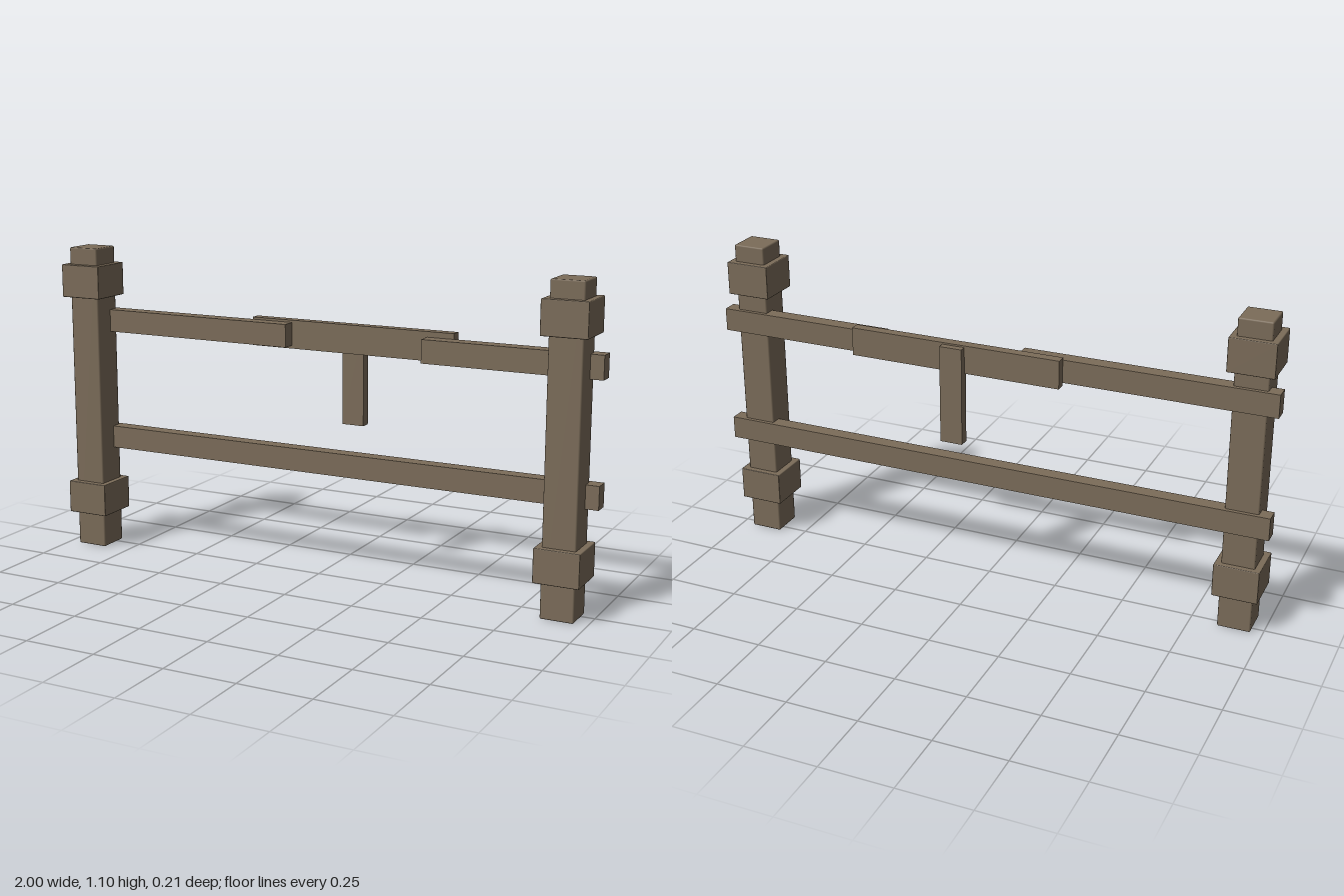
import * as THREE from 'three';
import { RoundedBoxGeometry } from 'three/addons/geometries/RoundedBoxGeometry.js';

export function createModel() {
  const group = new THREE.Group();
  group.name = 'brokenFence';
  const wood = new THREE.MeshStandardMaterial({ color: 0x7b6c59 });
  wood.name = 'weathered wood';

  // Box given by its extents, optionally with a small bevel
  function beam(name, [x0, x1], [y0, y1], [z0, z1], bevel = 0) {
    const size = [x1 - x0, y1 - y0, z1 - z0];
    const geometry = bevel
      ? new RoundedBoxGeometry(...size, 1, bevel)
      : new THREE.BoxGeometry(...size);
    const mesh = new THREE.Mesh(geometry, wood);
    mesh.name = name;
    mesh.position.set((x0 + x1) / 2, (y0 + y1) / 2, (z0 + z1) / 2);
    group.add(mesh);
  }

  // Posts with a collar near the top and the bottom
  for (const [side, x] of [['right', -0.902], ['left', 0.898]]) {
    beam(side + 'Post', [x - 0.057, x + 0.057], [0, 1.1], [-0.031, 0.083], 0.005);
    beam(side + 'LowerCollar', [x - 0.078, x + 0.078], [0.124, 0.241], [-0.052, 0.105], 0.003);
    beam(side + 'UpperCollar', [x - 0.078, x + 0.078], [0.923, 1.04], [-0.052, 0.105], 0.003);
  }

  // Lower rail and the two halves of the broken upper rail
  const railZ = [-0.045, 0.007];
  beam('lowerRail', [-1, 1], [0.362, 0.442], railZ);
  beam('rightUpperRail', [-1, -0.125], [0.793, 0.873], railZ);
  beam('leftUpperRail', [0.38, 1], [0.782, 0.862], railZ);

  // Repair plank bridging the gap, with a hanging board behind it
  beam('repairPlank', [-0.28, 0.476], [0.782, 0.881], [-0.078, -0.042]);
  beam('hangingBoard', [0.057, 0.137], [0.53, 0.875], [-0.102, -0.066]);

  return group;
}
